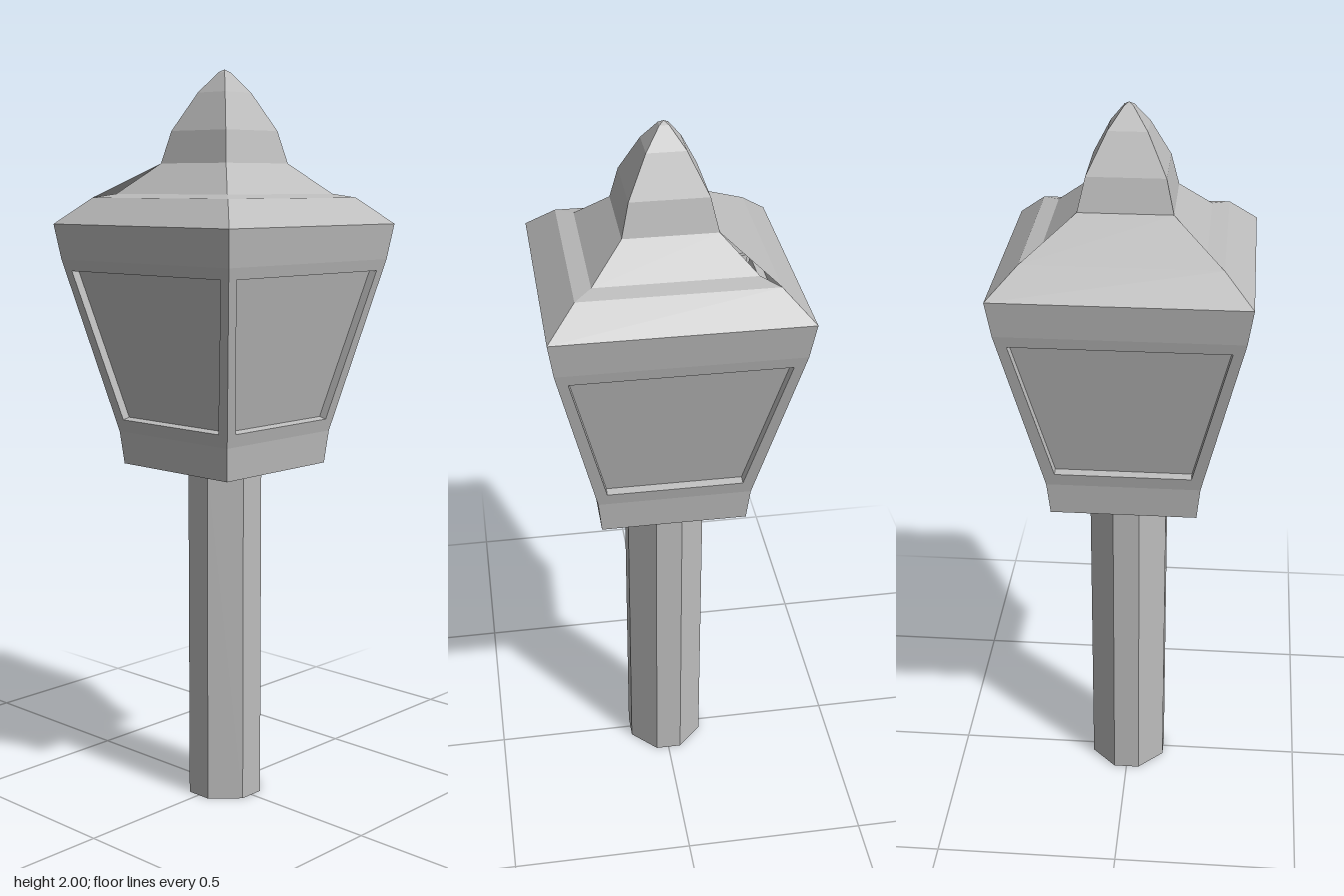
import * as THREE from 'three';

// Flat-shaded mesh from quads, each listed anticlockwise as four [x, y, z] corners
function quadMesh(name, quads, material) {
  const positions = [];
  for (const [a, b, c, d] of quads) positions.push(...a, ...b, ...c, ...a, ...c, ...d);
  const geometry = new THREE.BufferGeometry();
  geometry.setAttribute('position', new THREE.Float32BufferAttribute(positions, 3));
  geometry.computeVertexNormals();
  const mesh = new THREE.Mesh(geometry, material);
  mesh.name = name;
  return mesh;
}

// One front-facing wall that follows a [half width, height] profile, mitred at the corners
function wall(profile) {
  return profile.slice(1).map(([w1, y1], i) => {
    const [w0, y0] = profile[i];
    return [[-w0, y0, w0], [w0, y0, w0], [w1, y1, w1], [-w1, y1, w1]];
  });
}

export function createModel() {
  const stone = new THREE.MeshStandardMaterial({ color: 0xbcbcbc, side: THREE.DoubleSide });
  stone.name = 'grey stone';
  const model = new THREE.Group();
  model.name = 'lampPost';

  // Eight-sided post with slightly narrower straight faces
  const r = 0.105, e = 0.036;
  const outline = [[e, -r], [r, -e], [r, e], [e, r], [-e, r], [-r, e], [-r, -e], [-e, -r]];
  const shape = new THREE.Shape(outline.map(([x, y]) => new THREE.Vector2(x, y)));
  const postGeometry = new THREE.ExtrudeGeometry(shape, { depth: 0.945, bevelEnabled: false });
  postGeometry.rotateX(-Math.PI / 2);
  const post = new THREE.Mesh(postGeometry, stone);
  post.name = 'post';
  model.add(post);

  // Lantern outline: base band, sloping window wall and top band
  const base = [[0.195, 0.94], [0.204, 1.03]];
  const cornice = [[0.311, 1.5], [0.325, 1.595]];
  const outer = [
    [-0.204, 1.03, 0.204], [0.204, 1.03, 0.204], [0.311, 1.5, 0.311], [-0.311, 1.5, 0.311],
  ];
  const depthAt = (y) => 0.204 + (y - 1.03) * (0.107 / 0.47);
  const opening = [[-0.18, 1.065], [0.18, 1.065], [0.277, 1.47], [-0.277, 1.47]]
    .map(([x, y]) => [x, y, depthAt(y)]);
  const recessed = opening.map(([x, y, z]) => [x, y + 0.005, z - 0.022]);
  const rim = (a, b) => a.map((p, i) => {
    const j = (i + 1) % 4;
    return [p, a[j], b[j], b[i]];
  });

  // Roof: most sides dip part way down the ridge, the back side runs straight
  const spire = [[0.12, 1.755], [0.1, 1.84], [0.05, 1.94], [0.012, 1.992], [0, 2]];
  const eave = [[0.325, 1.595], [0.25, 1.665]];
  const dippedRoof = [...eave, [0.205, 1.675], ...spire];
  const straightRoof = [...eave, ...spire];

  const names = ['front', 'left', 'back', 'right'];
  names.forEach((name, i) => {
    const side = new THREE.Group();
    side.name = name + 'Side';
    side.rotation.y = i * Math.PI / 2;
    side.add(
      quadMesh('baseBand', wall(base), stone),
      quadMesh('windowFrame', rim(outer, opening), stone),
      quadMesh('windowReveal', rim(opening, recessed), stone),
      quadMesh('windowPane', [recessed], stone),
      quadMesh('topBand', wall(cornice), stone),
      quadMesh('roofSide', wall(name === 'back' ? straightRoof : dippedRoof), stone),
    );
    model.add(side);
  });

  // Underside of the lantern
  const h = 0.195;
  model.add(quadMesh('lanternUnderside',
    [[[-h, 0.94, -h], [h, 0.94, -h], [h, 0.94, h], [-h, 0.94, h]]], stone));
  return model;
}
